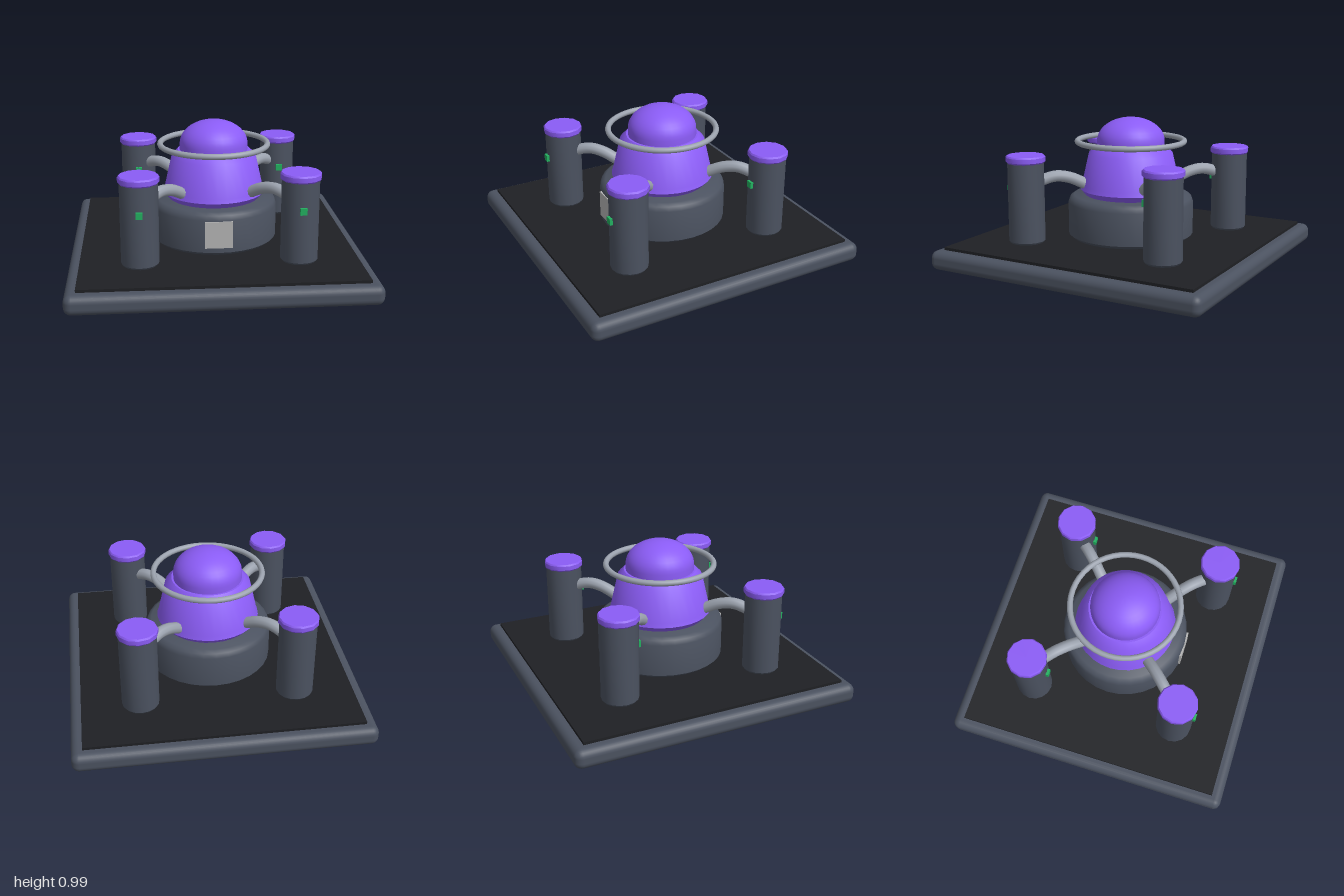
import * as THREE from 'three';
import { RoundedBoxGeometry } from 'three/addons/geometries/RoundedBoxGeometry.js';
import { toCreasedNormals } from 'three/addons/utils/BufferGeometryUtils.js';

const material = (color) => new THREE.MeshStandardMaterial({ color });
const slate = material(0x4b5260);
const black = material(0x1f2024);
const purple = material(0x8b5cf6);
const metal = material(0x9ca3af);
const green = material(0x22b060);
const grey = material(0xb4b4b4);

function add(parent, name, geometry, mat, x = 0, y = 0, z = 0) {
  const mesh = new THREE.Mesh(geometry, mat);
  mesh.name = name;
  mesh.position.set(x, y, z);
  parent.add(mesh);
  return mesh;
}

// Turned solid from [radius, height] pairs, bottom to top
function turned(points, sides, crease = 0.6) {
  const profile = points.map(([r, y]) => new THREE.Vector2(r, y));
  return toCreasedNormals(new THREE.LatheGeometry(profile, sides), crease);
}

export function createModel() {
  const model = new THREE.Group();
  model.name = 'reactorPlatform';

  // Rounded slab with a dark floor plate
  add(model, 'baseSlab', new RoundedBoxGeometry(2, 0.133, 2, 3, 0.05), slate, 0, 0.0665, 0);
  add(model, 'floorPlate', new THREE.BoxGeometry(1.85, 0.04, 1.85), black, 0, 0.132, 0);

  // Central drum and its front panel
  add(model, 'drum', turned([
    [0, 0.15], [0.41, 0.15], [0.44, 0.175], [0.44, 0.4], [0.428, 0.432], [0.4, 0.45], [0, 0.45],
  ], 32, 0.85), slate);
  add(model, 'frontPanel', new THREE.BoxGeometry(0.185, 0.185, 0.03), grey, 0, 0.303, 0.43);

  // Tapered core with bevelled rims
  add(model, 'core', turned([
    [0, 0.45], [0.32, 0.45], [0.355, 0.49], [0.345, 0.52], [0.295, 0.74], [0.25, 0.785], [0, 0.785],
  ], 32), purple);

  // Dome on a short neck
  const dome = [[0, 0.77], [0.237, 0.77]];
  for (let i = 0; i <= 10; i++) {
    const a = (i / 10) * Math.PI / 2;
    dome.push([i === 10 ? 0 : 0.237 * Math.cos(a), 0.825 + 0.165 * Math.sin(a)]);
  }
  add(model, 'dome', turned(dome, 32), purple);

  // Ring floating around the dome
  const ring = add(model, 'haloRing', new THREE.TorusGeometry(0.373, 0.02, 10, 48), metal, 0, 0.823, 0);
  ring.rotation.x = Math.PI / 2;

  // Four corner pillars, each with a cap, a status light and an arm to the core
  const pillarGeometry = turned([
    [0, 0.15], [0.115, 0.15], [0.126, 0.165], [0.126, 0.71], [0, 0.71],
  ], 16);
  const capGeometry = turned([
    [0, 0.705], [0.128, 0.705], [0.136, 0.715], [0.136, 0.745], [0.128, 0.756], [0, 0.756],
  ], 12);
  const lightGeometry = new THREE.BoxGeometry(0.045, 0.045, 0.04);

  for (const sx of [-1, 1]) {
    for (const sz of [-1, 1]) {
      const pillar = new THREE.Group();
      pillar.name = (sz > 0 ? 'front' : 'back') + (sx > 0 ? 'Left' : 'Right') + 'Pillar';
      pillar.position.set(sx * 0.525, 0, sz * 0.525);
      add(pillar, 'pillarBody', pillarGeometry, slate);
      add(pillar, 'pillarCap', capGeometry, purple);
      add(pillar, 'statusLight', lightGeometry, green, 0, 0.525, 0.122);
      model.add(pillar);

      // Arched arm running along the diagonal
      const path = new THREE.CatmullRomCurve3(
        [[0.2, 0.51], [0.24, 0.54], [0.31, 0.585], [0.38, 0.6], [0.45, 0.575], [0.52, 0.53]]
          .map(([d, y]) => new THREE.Vector3(sx * d, y, sz * d)));
      add(model, 'arm', new THREE.TubeGeometry(path, 20, 0.04, 10), metal);
    }
  }
  return model;
}
